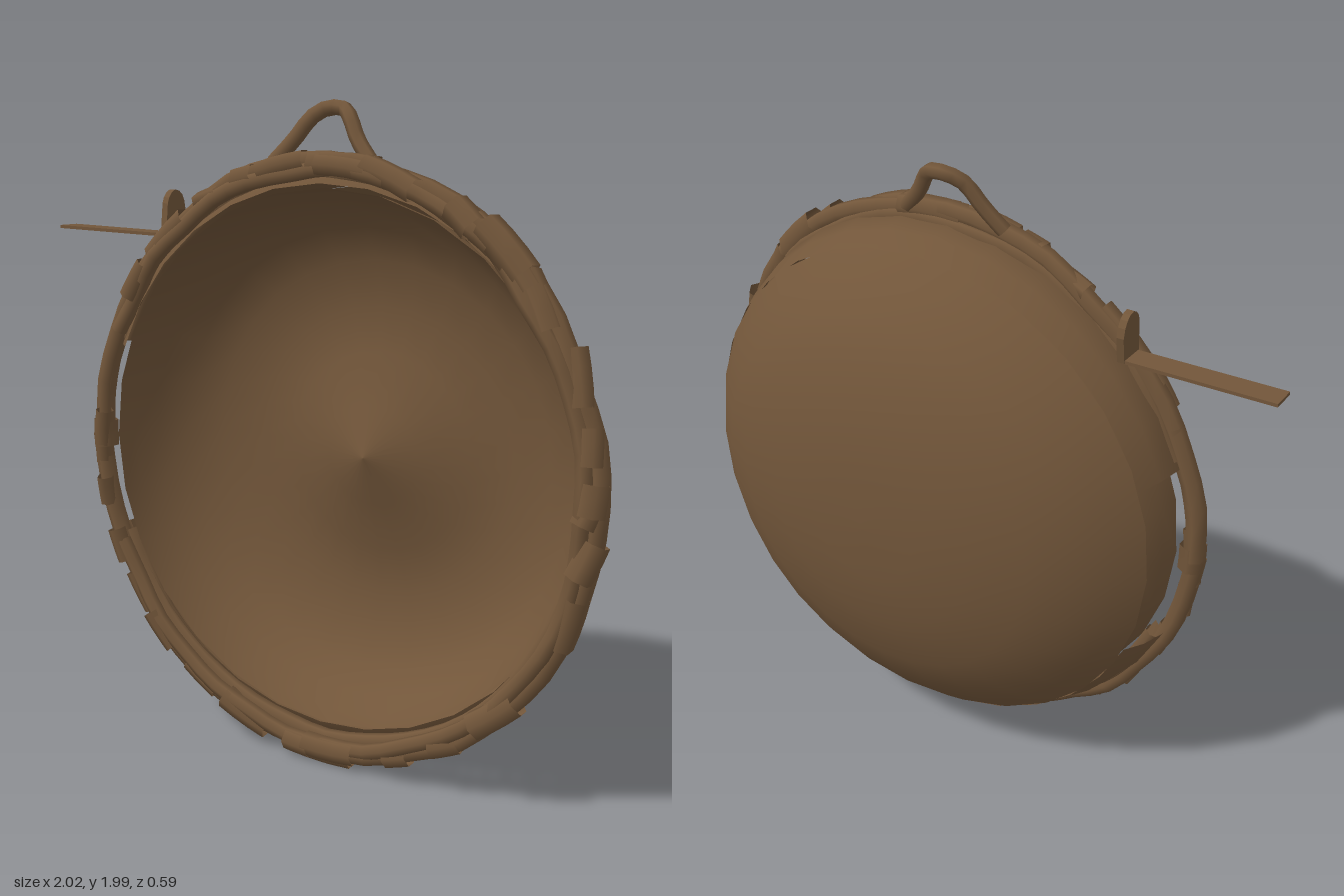
import * as THREE from 'three';

export function createModel() {
  const group = new THREE.Group();
  const wicker = new THREE.MeshStandardMaterial({ color: 0x72563a, side: THREE.DoubleSide });
  wicker.name = 'brown wicker';

  let seed = 11;
  const rand = (a, b) => {
    seed = (seed * 16807) % 2147483647;
    return a + (b - a) * (seed / 2147483647);
  };
  const add = (name, geometry, parent = group) => {
    const mesh = new THREE.Mesh(geometry, wicker);
    mesh.name = name;
    parent.add(mesh);
    return mesh;
  };
  const V = (x, y, z) => new THREE.Vector3(x, y, z);
  const CX = 0.1, CY = 0.935;

  // Lathe around z whose middle is shifted by dx, dy; gap leaves an opening on the -x side
  const shell = (name, profile, dx, dy, gap = 0) => {
    const geometry = new THREE.LatheGeometry(profile.map(([r, z]) => new THREE.Vector2(r, z)), 28,
      Math.PI * 1.5 + gap, Math.PI * 2 - gap * 2).rotateX(Math.PI / 2);
    const p = geometry.attributes.position;
    for (let i = 0; i < p.count; i++) {
      const w = Math.min(1, 2 * (1 - Math.hypot(p.getX(i), p.getY(i)) / 0.88));
      p.setXY(i, p.getX(i) + dx * w + CX, p.getY(i) + dy * w + CY);
    }
    add(name, geometry);
  };
  // Bowl: outside, its broken edge band, and the hollow with a raised middle
  shell('bowlOutside', [[0, -0.29], [0.18, -0.288], [0.36, -0.263], [0.53, -0.215], [0.65, -0.15],
    [0.745, -0.075], [0.812, 0]], 0, 0.03);
  shell('bowlEdgeBand', [[0.812, 0], [0.845, 0.075], [0.868, 0.165], [0.825, 0.19]], 0, 0.03, 0.36);
  shell('bowlInside', [[0.818, 0.185], [0.805, 0.12], [0.765, 0.045], [0.7, -0.03], [0.6, -0.085],
    [0.46, -0.112], [0.32, -0.1], [0.16, -0.05], [0, 0.005]], 0.02, -0.012);

  // Rim: a slightly tall ring that leans forward at the bottom and left
  const rimPoint = (a, r, z) => {
    const tall = r + 0.016 * Math.sin(a) ** 2;
    return V(CX + Math.cos(a) * tall, CY + Math.sin(a) * tall,
      z + 0.016 * Math.cos(a) - 0.02 * Math.sin(a));
  };
  const strand = (name, r, z, thickness, wobble, end) => {
    const pts = [];
    for (let i = 0; i <= 32; i++) {
      pts.push(rimPoint((i / 16 - 1) * end, r + rand(-wobble, wobble), z + rand(-wobble, wobble)));
    }
    add(name, new THREE.TubeGeometry(new THREE.CatmullRomCurve3(pts), 64, thickness, 6));
  };
  strand('rimInnerStrand', 0.84, 0.182, 0.025, 0.005, 2.75);
  strand('rimOuterStrand', 0.872, 0.2, 0.031, 0.008, Math.PI);
  strand('rimFrontStrand', 0.85, 0.224, 0.025, 0.009, 2.72);

  // Short overlapping wraps around the rim, thinner on the -x side
  const wraps = new THREE.Group();
  wraps.name = 'rimWraps';
  group.add(wraps);
  const wrap = (a, span, r, z, thickness) => {
    const tilt = rand(-0.01, 0.03);
    const curve = new THREE.CatmullRomCurve3([-0.5, 0, 0.5].map((t) =>
      rimPoint(a + t * span, r + t * tilt, z - t * tilt)));
    const thin = 1 - 0.3 * Math.max(0, -Math.cos(a)) ** 2;
    add('rimWrap', new THREE.TubeGeometry(curve, 3, thickness * thin, 6, false), wraps);
  };
  for (let i = 0; i < 30; i++) {
    wrap((i + rand(-0.25, 0.25)) / 30 * Math.PI * 2, rand(0.09, 0.22), rand(0.862, 0.876),
      rand(0.2, 0.226), rand(0.032, 0.044));
  }
  wrap(0.85, 0.2, 0.88, 0.21, 0.048);
  wrap(3.14, 0.1, 0.866, 0.205, 0.058);
  wrap(0, 0.1, 0.862, 0.215, 0.038);
  wrap(-1.56, 0.25, 0.875, 0.21, 0.037);
  wrap(1.5, 0.25, 0.87, 0.2, 0.038);

  // Hanging loop at the top
  const loop = [[-0.1, 1.82, 0.155], [-0.04, 1.885, 0.135], [0.01, 1.95, 0.115], [0.045, 1.974, 0.092],
    [0.105, 1.974, 0.092], [0.14, 1.95, 0.115], [0.18, 1.885, 0.135], [0.24, 1.82, 0.155]].map((p) => V(...p));
  add('hangingLoop', new THREE.TubeGeometry(new THREE.CatmullRomCurve3(loop), 14, 0.023, 6));

  // Peg at the side: a thin strip ending in an upturned rounded tab
  const peg = new THREE.Group();
  peg.name = 'sidePeg';
  group.add(peg);
  const strip = add('pegStrip', new THREE.BoxGeometry(0.46, 0.01, 0.078), peg);
  strip.position.set(-0.77, 1.594, 0.086);
  strip.rotation.z = -0.025;
  const tab = new THREE.Shape();
  tab.moveTo(-0.05, 0);
  tab.lineTo(0.035, 0);
  tab.lineTo(0.05, 0.08);
  tab.quadraticCurveTo(0.045, 0.145, 0, 0.145);
  tab.quadraticCurveTo(-0.04, 0.13, -0.04, 0.08);
  tab.closePath();
  const tabGeometry = new THREE.ExtrudeGeometry(tab, { depth: 0.022, bevelEnabled: false, curveSegments: 4 });
  add('pegTab', tabGeometry.rotateY(Math.PI / 2), peg).position.set(-0.56, 1.585, 0.08);

  return group;
}
